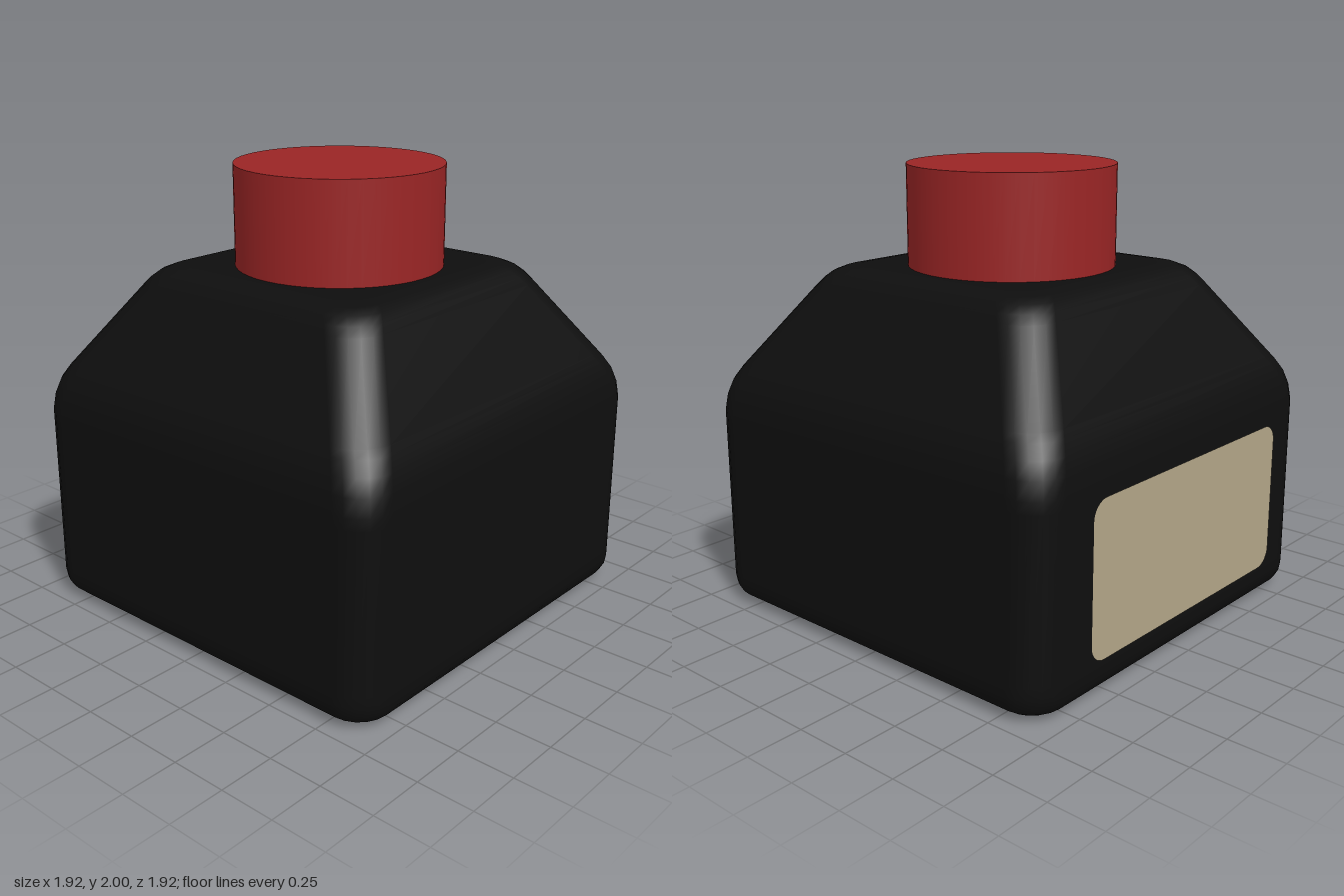
import * as THREE from 'three';

const black = new THREE.MeshStandardMaterial({ name: 'black glass', color: 0x0e0e0e });
const red = new THREE.MeshStandardMaterial({ name: 'red cap', color: 0x9a2525 });
const cream = new THREE.MeshStandardMaterial({ name: 'cream paper', color: 0xb3a688 });

// Rounded square outline, running from +x towards +z
function roundedSquare(half, radius, steps = 5) {
  const points = [];
  for (let corner = 0; corner < 4; corner++) {
    const middle = (corner + 0.5) * Math.PI / 2;
    const cx = Math.sign(Math.cos(middle)) * (half - radius);
    const cz = Math.sign(Math.sin(middle)) * (half - radius);
    for (let i = 0; i <= steps; i++) {
      const a = (corner + i / steps) * Math.PI / 2;
      points.push([cx + radius * Math.cos(a), cz + radius * Math.sin(a)]);
    }
  }
  return points;
}

// Stack rounded squares given as [half width, height, corner radius] and close both ends
function loft(rows) {
  const positions = [], indices = [];
  for (const [half, y, radius] of rows) {
    for (const [x, z] of roundedSquare(half, radius)) positions.push(x, y, z);
  }
  const n = positions.length / 3 / rows.length;
  for (let r = 0; r < rows.length - 1; r++) {
    for (let i = 0; i < n; i++) {
      const a = r * n + i, b = r * n + (i + 1) % n;
      indices.push(a, a + n, b, b, a + n, b + n);
    }
  }
  const last = (rows.length - 1) * n, bottom = positions.length / 3;
  positions.push(0, rows[0][1], 0, 0, rows[rows.length - 1][1], 0);
  for (let i = 0; i < n; i++) {
    const j = (i + 1) % n;
    indices.push(bottom, i, j, bottom + 1, last + j, last + i);
  }
  const geometry = new THREE.BufferGeometry();
  geometry.setAttribute('position', new THREE.Float32BufferAttribute(positions, 3));
  geometry.setIndex(indices);
  geometry.computeVertexNormals();
  return geometry;
}

// Flat rectangle with rounded corners
function roundedRectangle(w, h, r) {
  const x = w / 2, y = h / 2, s = new THREE.Shape();
  s.absarc(x - r, y - r, r, 0, Math.PI / 2);
  s.absarc(-x + r, y - r, r, Math.PI / 2, Math.PI);
  s.absarc(-x + r, -y + r, r, Math.PI, Math.PI * 1.5);
  s.absarc(x - r, -y + r, r, Math.PI * 1.5, Math.PI * 2);
  return new THREE.ShapeGeometry(s, 6);
}

export function createModel() {
  const model = new THREE.Group();
  model.name = 'inkBottle';
  const add = (name, geometry, material) => {
    const mesh = new THREE.Mesh(geometry, material);
    mesh.name = name;
    model.add(mesh);
    return mesh;
  };

  // Square bottle with a rounded foot and sloping shoulders
  add('bottle', loft([
    [0.84, 0, 0.1], [0.855, 0, 0.1], [0.9, 0.015, 0.12], [0.935, 0.04, 0.14],
    [0.955, 0.075, 0.16], [0.96, 0.115, 0.16], [0.96, 0.16, 0.16],
    [0.96, 0.86, 0.16], [0.96, 0.91, 0.16], [0.95, 0.985, 0.16], [0.93, 1.05, 0.16],
    [0.9, 1.105, 0.16], [0.88, 1.135, 0.16], [0.66, 1.465, 0.16], [0.635, 1.5, 0.16],
    [0.605, 1.53, 0.16], [0.565, 1.549, 0.15], [0.52, 1.555, 0.14], [0.5, 1.555, 0.14],
  ]), black);

  // Round cap
  const cap = add('cap', new THREE.CylinderGeometry(0.46, 0.46, 0.46, 48), red);
  cap.position.y = 1.77;

  // Blank paper label on the back
  const label = add('label', roundedRectangle(1.33, 0.68, 0.08), cream);
  label.position.set(-0.03, 0.505, -0.964);
  label.rotation.y = Math.PI;

  return model;
}
